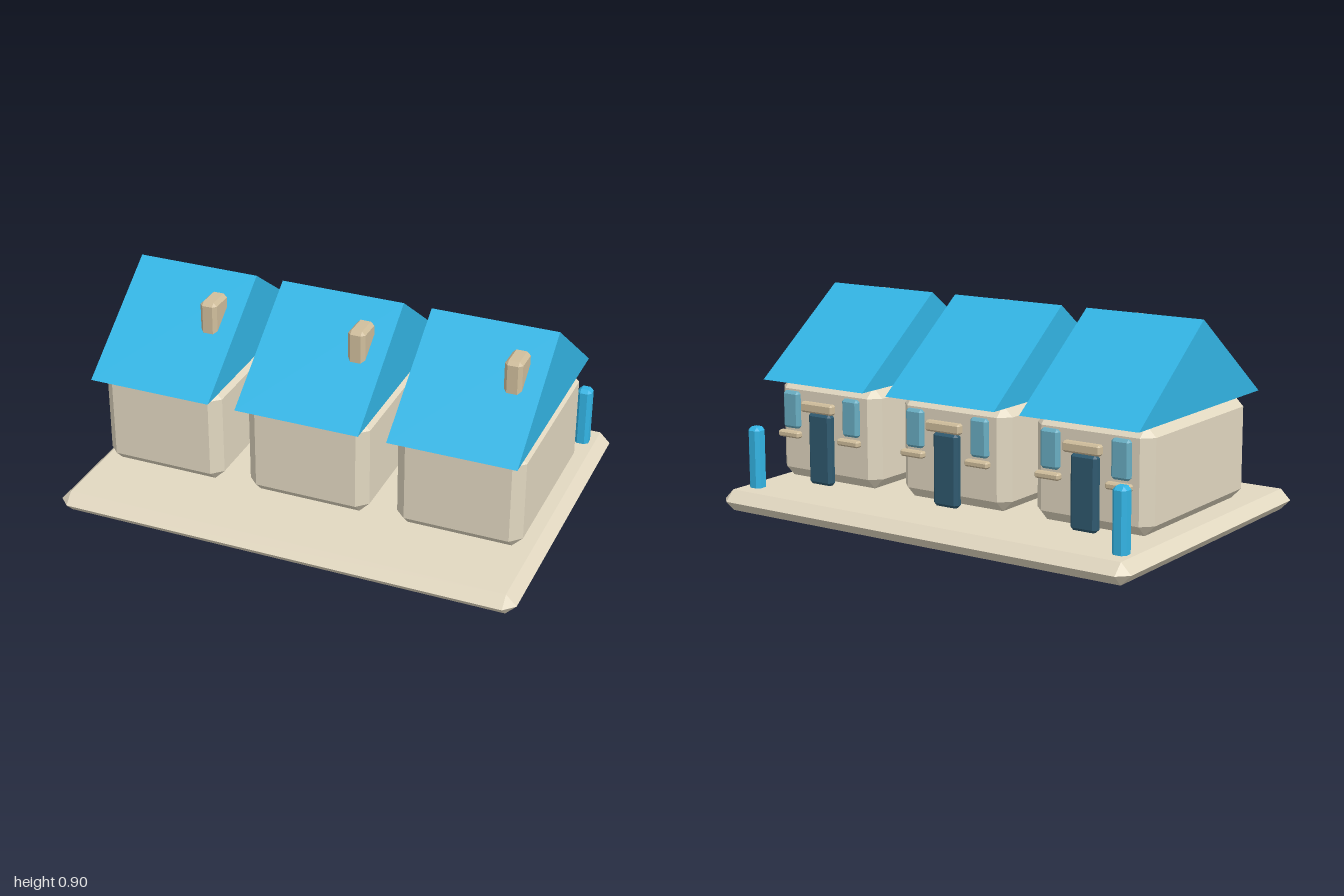
import * as THREE from 'three';
import { ConvexGeometry } from 'three/addons/geometries/ConvexGeometry.js';

const material = (name, color, side = THREE.FrontSide) => {
  const m = new THREE.MeshStandardMaterial({ color, side });
  m.name = name;
  return m;
};

// Box with every edge cut at 45 degrees; x, y and z are [min, max] ranges
function chamferedBox(name, mat, x, y, z, c) {
  const points = [];
  for (const i of [0, 1]) for (const j of [0, 1]) for (const k of [0, 1]) {
    const corner = [x[i], y[j], z[k]];
    const inward = [i ? -c : c, j ? -c : c, k ? -c : c];
    for (let axis = 0; axis < 3; axis++) {
      points.push(new THREE.Vector3(...corner.map((v, a) => (a === axis ? v : v + inward[a]))));
    }
  }
  const mesh = new THREE.Mesh(new ConvexGeometry(points), mat);
  mesh.name = name;
  return mesh;
}

// Gabled shell, open underneath, ridge along x
function gableRoof(mat, halfWidth, halfDepth, eave, ridge) {
  const w = halfWidth, d = halfDepth;
  const [fl, fr, bl, br] = [[-w, eave, d], [w, eave, d], [-w, eave, -d], [w, eave, -d]];
  const [rl, rr] = [[-w, ridge, 0], [w, ridge, 0]];
  const faces = [
    fl, fr, rr, fl, rr, rl, // front slope
    br, bl, rl, br, rl, rr, // back slope
    fr, br, rr, bl, fl, rl, // gable ends
  ];
  const geometry = new THREE.BufferGeometry();
  geometry.setAttribute('position', new THREE.Float32BufferAttribute(faces.flat(), 3));
  geometry.computeVertexNormals();
  const mesh = new THREE.Mesh(geometry, mat);
  mesh.name = 'roof';
  return mesh;
}

export function createModel() {
  const stone = material('cream stone', 0xe2d8c1);
  const blue = material('roof blue', 0x33b5e5, THREE.DoubleSide);
  const tan = material('tan trim', 0xd0be9c);
  const doorBlue = material('dark door blue', 0x2f5a70);
  const glass = material('window blue', 0x6aafc4);

  const model = new THREE.Group();
  model.name = 'rowOfHouses';

  // Ground slab
  model.add(chamferedBox('baseSlab', stone, [-1, 1], [0, 0.09], [-0.705, 0.705], 0.0449));

  // Three identical houses, doors on the back side
  for (const x of [-0.655, 0, 0.655]) {
    const house = new THREE.Group();
    house.name = 'house';
    house.position.x = x;
    house.add(
      chamferedBox('walls', stone, [-0.267, 0.267], [0.105, 0.54], [-0.4, 0.4], 0.045),
      gableRoof(blue, 0.268, 0.487, 0.54, 0.9),
      chamferedBox('chimney', tan, [0.118, 0.192], [0.58, 0.86], [0.115, 0.24], 0.015),
      chamferedBox('door', doorBlue, [-0.06, 0.06], [0.107, 0.415], [-0.452, -0.408], 0.013),
      chamferedBox('doorLintel', tan, [-0.085, 0.085], [0.418, 0.462], [-0.469, -0.433], 0.008),
    );
    // Windows with sills on both sides of the door
    for (const wx of [-0.16, 0.16]) {
      house.add(
        chamferedBox('window', glass, [wx - 0.042, wx + 0.042], [0.333, 0.493], [-0.445, -0.412], 0.011),
        chamferedBox('windowSill', tan, [wx - 0.056, wx + 0.056], [0.296, 0.324], [-0.463, -0.428], 0.007),
      );
    }
    model.add(house);
  }

  // Bollards at the back corners of the slab
  for (const x of [-0.9, 0.9]) {
    model.add(chamferedBox('post', blue, [x - 0.031, x + 0.031], [0.06, 0.353], [-0.596, -0.534], 0.015));
  }
  return model;
}
